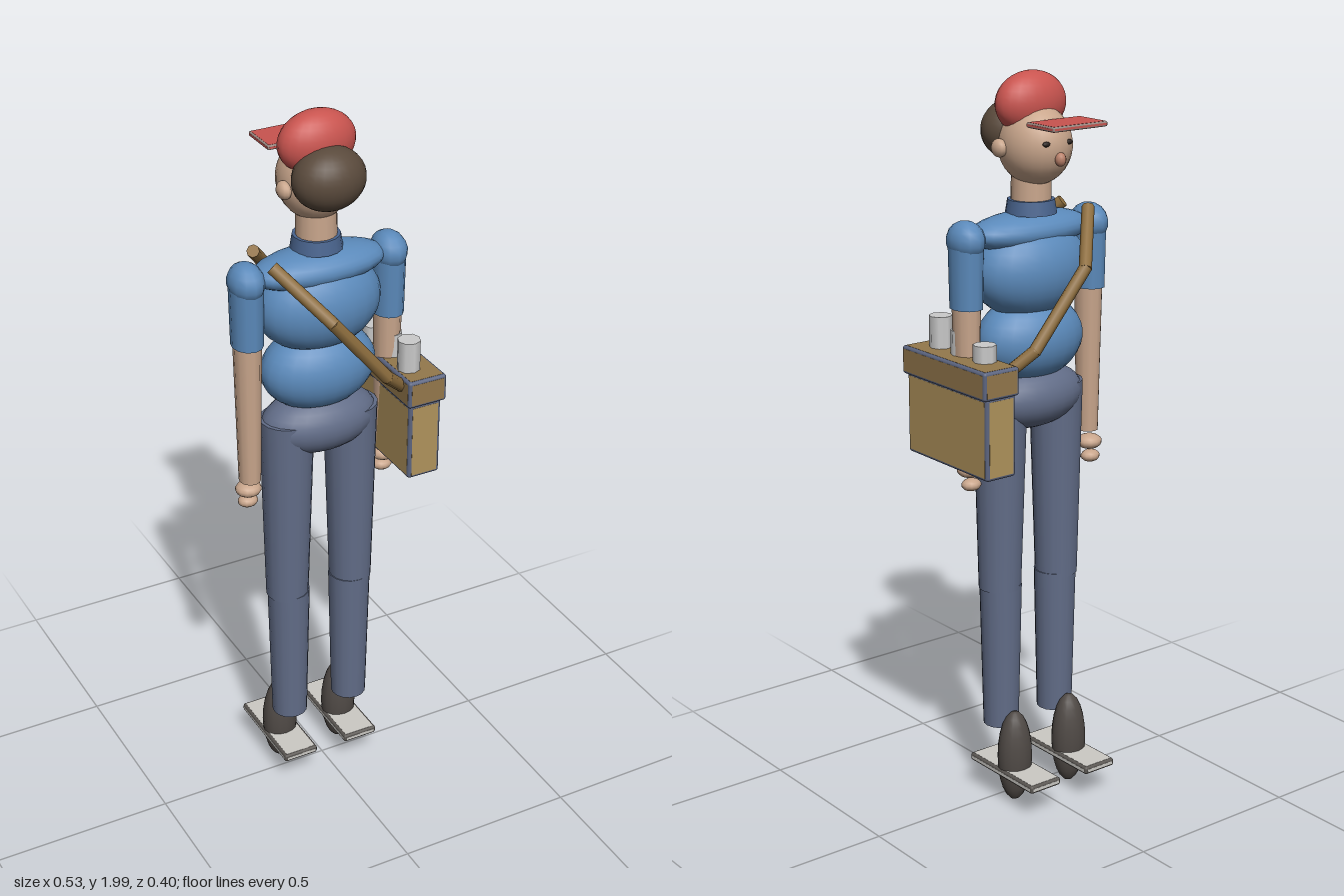
import * as THREE from 'three';
import { RoundedBoxGeometry } from 'three/addons/geometries/RoundedBoxGeometry.js';

const COLORS = {
  skin: 0xc9a68c, shirt: 0x5b8abb, collar: 0x4a658f, trousers: 0x626d88, hair: 0x5a4a3c,
  cap: 0xc9544f, brimEdge: 0x9c8a84, shoe: 0x504a46, sole: 0xcccac5, soleEdge: 0x5a5652,
  canvas: 0xb0935c, lid: 0x94784c, trim: 0x5c6580, strap: 0x8f6f3f, cup: 0xc8c8c4,
  eye: 0x2a211d, nose: 0xb98069,
};
const MATS = Object.fromEntries(Object.entries(COLORS).map(([k, color]) =>
  [k, new THREE.MeshStandardMaterial({ color })]));

export function createModel() {
  const model = new THREE.Group();
  const body = new THREE.Group();
  body.name = 'body';
  body.position.x = -0.016;
  model.add(body);

  const add = (parent, name, geometry, color, x, y, z) => {
    const mesh = new THREE.Mesh(geometry, MATS[color]);
    mesh.name = name;
    mesh.position.set(x, y, z);
    parent.add(mesh);
    return mesh;
  };
  const ellipsoid = (parent, name, color, [x, y, z], [rx, ry, rz], seg = 20) =>
    add(parent, name, new THREE.SphereGeometry(1, seg, Math.ceil(seg * 0.7)).scale(rx, ry, rz), color, x, y, z);
  // Tapered upright limb between two heights
  const limb = (parent, name, color, x, z, yTop, yBottom, rTop, rBottom, depth = 1, seg = 16) =>
    add(parent, name, new THREE.CylinderGeometry(rTop, rBottom, yTop - yBottom, seg).scale(1, 1, depth),
      color, x, (yTop + yBottom) / 2, z);
  // Rounded box in an edge colour with a flat panel on each face
  const trimmedBox = (parent, name, color, edge, [x, y, z], [w, h, d], border) => {
    const group = new THREE.Group();
    group.name = name;
    group.position.set(x, y, z);
    parent.add(group);
    add(group, name + 'Edge', new RoundedBoxGeometry(w, h, d, 2, border), edge, 0, 0, 0);
    const b = border * 2, e = 0.001;
    add(group, name + 'SidePanel', new THREE.BoxGeometry(w + e, h - b, d - b), color, 0, 0, 0);
    add(group, name + 'TopPanel', new THREE.BoxGeometry(w - b, h + e, d - b), color, 0, 0, 0);
    add(group, name + 'EndPanel', new THREE.BoxGeometry(w - b, h - b, d + e), color, 0, 0, 0);
  };

  // Head, looking toward -z
  ellipsoid(body, 'head', 'skin', [0, 1.815, -0.015], [0.093, 0.105, 0.104], 24);
  ellipsoid(body, 'hair', 'hair', [0, 1.844, 0.066], [0.097, 0.082, 0.077], 24);
  ellipsoid(body, 'cap', 'cap', [0, 1.918, 0.002], [0.105, 0.082, 0.064], 24);
  trimmedBox(body, 'capBrim', 'cap', 'brimEdge', [0.001, 1.88, -0.146], [0.174, 0.013, 0.11], 0.004);
  ellipsoid(body, 'nose', 'nose', [0, 1.788, -0.12], [0.015, 0.018, 0.014], 12);
  for (const s of [-1, 1]) {
    ellipsoid(body, 'ear', 'skin', [s * 0.095, 1.81, 0.01], [0.018, 0.024, 0.027], 12);
    ellipsoid(body, 'eye', 'eye', [s * 0.036, 1.828, -0.108], [0.012, 0.007, 0.007], 10);
  }
  limb(body, 'neck', 'skin', 0, 0, 1.75, 1.64, 0.052, 0.054);
  limb(body, 'collar', 'collar', 0, 0, 1.672, 1.635, 0.062, 0.068);

  // Torso
  ellipsoid(body, 'shoulders', 'shirt', [0, 1.59, 0.01], [0.19, 0.052, 0.085]);
  ellipsoid(body, 'chest', 'shirt', [0, 1.488, 0.007], [0.173, 0.13, 0.115], 24);
  ellipsoid(body, 'belly', 'shirt', [0, 1.302, 0.007], [0.16, 0.115, 0.107], 24);
  ellipsoid(body, 'hips', 'trousers', [0, 1.145, 0.01], [0.165, 0.088, 0.1], 24);

  for (const s of [-1, 1]) {
    // Arms
    const ax = s * 0.203;
    ellipsoid(body, 'shoulder', 'shirt', [ax, 1.585, 0.01], [0.047, 0.052, 0.06], 12);
    limb(body, 'sleeve', 'shirt', ax, 0.01, 1.59, 1.41, 0.044, 0.041, 1.2, 12);
    limb(body, 'forearm', 'skin', ax, 0.01, 1.42, 1.01, 0.037, 0.029, 1.1, 12);
    ellipsoid(body, 'hand', 'skin', [ax, 0.977, 0.0], [0.036, 0.021, 0.034], 12);
    ellipsoid(body, 'fingers', 'skin', [ax, 0.937, -0.005], [0.028, 0.017, 0.024], 12);

    // Legs
    const thigh = limb(body, 'thigh', 'trousers', s * 0.0955, 0.012, 1.17, 0.62, 0.073, 0.058);
    thigh.rotation.z = s * 0.006;
    limb(body, 'shin', 'trousers', s * 0.094, 0.013, 0.63, 0.22, 0.058, 0.049);

    // Shoes on flat soles
    ellipsoid(body, 'shoe', 'shoe', [s * 0.095, 0.14, -0.05], [0.05, 0.132, 0.045], 16);
    trimmedBox(body, 'sole', 'sole', 'soleEdge', [s * 0.095, 0.1, -0.051], [0.102, 0.022, 0.276], 0.007);
  }

  // Shoulder bag with lid
  trimmedBox(model, 'bag', 'canvas', 'trim', [0.206, 1.105, 0.012], [0.094, 0.22, 0.346], 0.009);
  trimmedBox(model, 'bagLid', 'lid', 'trim', [0.209, 1.249, 0.011], [0.112, 0.076, 0.36], 0.008);

  // Cups standing in the bag
  [[0.115, 1.372], [0.02, 1.352], [-0.075, 1.332]].forEach(([z, top]) =>
    limb(model, 'cup', 'cup', 0.193, z, top, 1.22, 0.031, 0.031, 1, 8));

  // Strap in straight lengths around both sides of the torso
  const path = [[-0.17, 1.635, 0.055], [-0.065, 1.51, 0.172], [0.095, 1.315, 0.167], [0.172, 1.245, 0.122]];
  for (const s of [-1, 1]) {
    const pts = path.map(([x, y, z]) => new THREE.Vector3(x, y, 0.01 + s * z));
    for (let i = 0; i < pts.length - 1; i++) {
      const dir = pts[i + 1].clone().sub(pts[i]);
      const mid = pts[i].clone().add(pts[i + 1]).multiplyScalar(0.5);
      const piece = add(model, 'strap', new THREE.CylinderGeometry(0.017, 0.017, dir.length() + 0.008, 8),
        'strap', mid.x, mid.y, mid.z);
      piece.quaternion.setFromUnitVectors(new THREE.Vector3(0, 1, 0), dir.normalize());
    }
  }
  return model;
}
